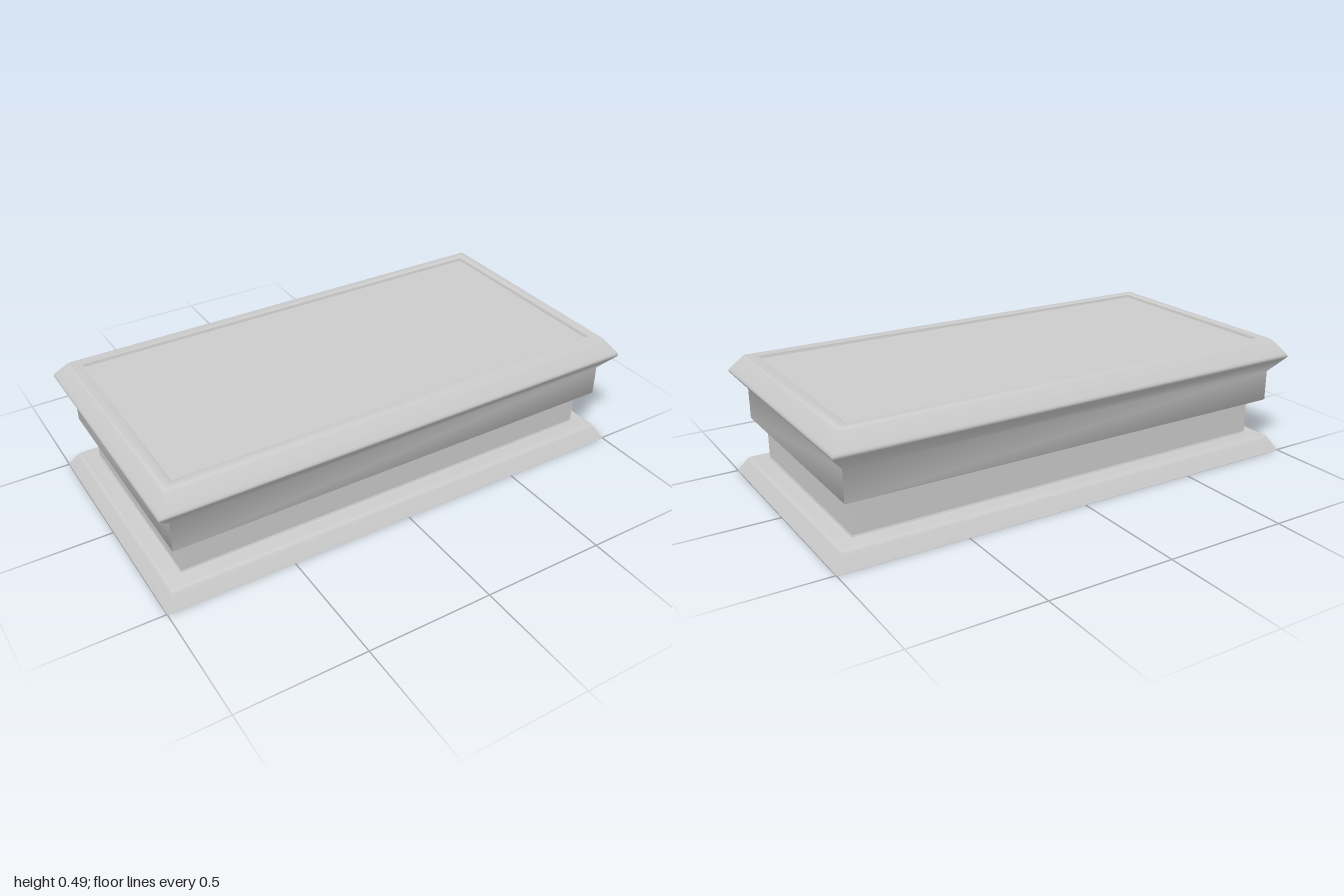
import * as THREE from 'three';
import { toCreasedNormals } from 'three/addons/utils/BufferGeometryUtils.js';

const material = new THREE.MeshStandardMaterial({ color: 0xcccccc, side: THREE.DoubleSide });

// Sweeps a moulding profile of [y, halfDepth, halfWidth] around a mitred rectangle
function moulding(name, profile) {
  const corners = [[1, 1], [1, -1], [-1, -1], [-1, 1]];
  const positions = [];
  const index = [];
  for (const [y, z, x] of profile) {
    for (const [sx, sz] of corners) positions.push(sx * x, y, sz * z);
  }
  for (let r = 0; r < profile.length - 1; r++) {
    for (let i = 0; i < 4; i++) {
      const a = r * 4 + i, b = r * 4 + (i + 1) % 4;
      index.push(a, b, b + 4, a, b + 4, a + 4);
    }
  }
  const geometry = new THREE.BufferGeometry();
  geometry.setAttribute('position', new THREE.Float32BufferAttribute(positions, 3));
  geometry.setIndex(index);
  const mesh = new THREE.Mesh(toCreasedNormals(geometry, THREE.MathUtils.degToRad(50)), material);
  mesh.name = name;
  return mesh;
}

export function createModel() {
  const group = new THREE.Group();
  group.name = 'plinth';

  // Sloped foot, open underneath
  group.add(moulding('foot', [
    [0, 0.505, 1.0],
    [0.052, 0.474, 0.969],
    [0.062, 0.467, 0.962],
    [0.065, 0.458, 0.953],
    [0.065, 0.415, 0.91],
    [0.068, 0.405, 0.9],
    [0.075, 0.402, 0.897],
  ]));

  // Recessed neck
  group.add(moulding('neck', [
    [0.075, 0.402, 0.897],
    [0.225, 0.402, 0.897],
  ]));

  // Wider body flaring into the cornice, with a raised rim on top
  group.add(moulding('cornice', [
    [0.225, 0.402, 0.897],
    [0.225, 0.458, 0.938],
    [0.228, 0.461, 0.941],
    [0.35, 0.461, 0.941],
    [0.41, 0.51, 0.99],
    [0.417, 0.515, 0.995],
    [0.424, 0.515, 0.995],
    [0.432, 0.51, 0.99],
    [0.482, 0.471, 0.951],
    [0.49, 0.463, 0.943],
    [0.492, 0.455, 0.935],
    [0.492, 0.43, 0.91],
    [0.489, 0.423, 0.903],
    [0.478, 0.42, 0.9],
  ]));

  // Flat panel sunk inside the rim
  const panel = new THREE.Mesh(new THREE.PlaneGeometry(1.8, 0.84), material);
  panel.name = 'topPanel';
  panel.rotation.x = -Math.PI / 2;
  panel.position.y = 0.478;
  group.add(panel);

  return group;
}
